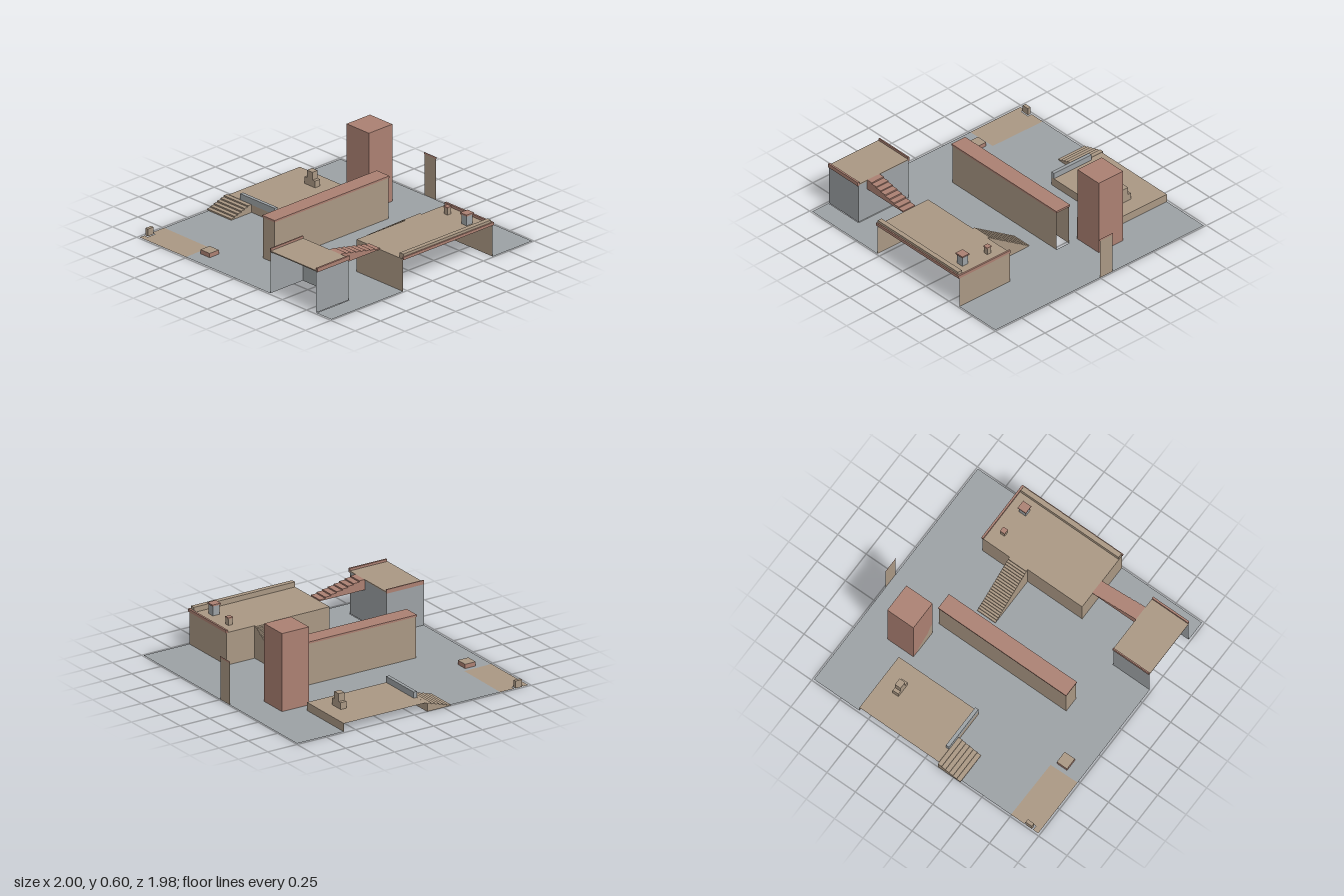
import * as THREE from 'three';

const flat = (name, color) => new THREE.MeshStandardMaterial({ name, color, side: THREE.DoubleSide });

export function createModel() {
  const root = new THREE.Group();
  root.name = 'courtyard';
  const grey = flat('grey stone', 0x9ca1a4);
  const tan = flat('tan plaster', 0xa99783);
  const red = flat('red brick', 0xab8072);

  const add = (name, geo, mat, parent = root) => {
    const m = new THREE.Mesh(geo, mat);
    m.name = name;
    parent.add(m);
    return m;
  };

  // Box from bounds; `sides` lists the faces to keep
  const ORDER = ['+x', '-x', '+y', '-y', '+z', '-z'];
  const box = (name, mat, [x0, x1], [y0, y1], [z0, z1], sides = ORDER, parent = root) => {
    const g = new THREE.BoxGeometry(x1 - x0, y1 - y0, z1 - z0);
    const idx = Array.from(g.index.array);
    g.setIndex(ORDER.flatMap((s, i) => (sides.includes(s) ? idx.slice(i * 6, i * 6 + 6) : [])));
    g.clearGroups();
    g.translate((x0 + x1) / 2, (y0 + y1) / 2, (z0 + z1) / 2);
    return add(name, g, mat, parent);
  };

  // Horizontal sheet from (x, z) outlines
  const toPath = (pts, P) => new P(pts.map(([x, z]) => new THREE.Vector2(x, -z)));
  const rect = (x0, x1, z0, z1) => [[x0, z0], [x1, z0], [x1, z1], [x0, z1]];
  const sheet = (name, mat, outline, holes = []) => {
    const s = toPath(outline, THREE.Shape);
    s.holes = holes.map((h) => toPath(h, THREE.Path));
    return add(name, new THREE.ShapeGeometry(s).rotateX(-Math.PI / 2), mat);
  };

  // Flight of steps rising along one axis from a to b (a is the low end)
  const steps = (name, mat, axis, n, [a, b], cross, base, [low, high]) => {
    const flight = new THREE.Group();
    flight.name = name;
    root.add(flight);
    for (let i = 0; i < n; i++) {
      const p = a + ((b - a) * i) / n, q = a + ((b - a) * (i + 1)) / n;
      const run = [Math.min(p, q), Math.max(p, q)];
      const top = low + ((high - low) * (i + 1)) / n;
      const [x, z] = axis === 'x' ? [run, cross] : [cross, run];
      box('step', mat, x, [base, top], z, ORDER, flight);
    }
  };

  // Ground, notched and pierced below the hollow buildings
  sheet('ground', grey, [
    [-0.985, -0.99], [0.99, -0.99], [0.99, -0.6], [0.51, -0.6], [0.51, 0.28], [0.99, 0.28],
    [0.99, 0.985], [0.835, 0.985], [0.835, 0.66], [0.36, 0.66], [0.36, 0.985],
    [-0.51, 0.985], [-0.515, 0.75], [-0.985, 0.745],
    [-0.985, 0.11], [-0.51, 0.11], [-0.51, -0.59], [-0.985, -0.59],
  ], [
    rect(-0.12, 0, -0.52, 0.6), rect(-0.43, -0.2, -0.75, -0.52), rect(-0.48, -0.385, 0.78, 0.87),
  ]);
  sheet('groundPatch', tan, [
    [-0.985, 0.745], [-0.515, 0.75], [-0.51, 0.985], [-0.985, 0.985],
    [-0.985, 0.94], [-0.95, 0.94], [-0.95, 0.865], [-0.985, 0.865],
  ]);
  box('cornerPost', tan, [-0.985, -0.958], [0, 0.055], [0.875, 0.93]);

  // Small plinth
  box('plinthSides', red, [-0.48, -0.385], [0, 0.033], [0.78, 0.87], ['+x', '-x', '+z', '-z']);
  box('plinthTop', tan, [-0.48, -0.385], [0, 0.033], [0.78, 0.87], ['+y']);

  // Tower with a worn patch at its foot
  box('tower', red, [-0.43, -0.2], [0, 0.6], [-0.75, -0.52], ['+x', '-x', '+y', '+z', '-z']);
  const worn = new THREE.Shape([
    [-0.385, 0], [-0.2, 0], [-0.2, 0.19], [-0.235, 0.165], [-0.255, 0.11], [-0.3, 0.09], [-0.36, 0.055], [-0.385, 0.035],
  ].map(([x, y]) => new THREE.Vector2(x, y)));
  add('towerWornPatch', new THREE.ShapeGeometry(worn), tan).position.z = -0.518;

  // Long wall, its coping and the detached end panel
  box('longWall', tan, [-0.12, 0], [0, 0.318], [-0.52, 0.6], ['+x', '-x', '+z']);
  box('longWallCoping', red, [-0.125, 0.005], [0.318, 0.333], [-0.525, 0.603]);
  add('endPanel', new THREE.PlaneGeometry(0.12, 0.318), tan).position.set(-0.06, 0.159, -0.99);
  add('endPanelCoping', new THREE.PlaneGeometry(0.13, 0.015), red).position.set(-0.06, 0.3255, -0.99);

  // Low terrace, open on its outer side
  box('terrace', tan, [-0.985, -0.51], [0, 0.063], [-0.59, 0.11], ['+x', '+y', '+z', '-z']);
  box('terraceParapet', grey, [-0.865, -0.51], [0.06, 0.11], [0.085, 0.112]);
  steps('terraceSteps', tan, 'z', 6, [0.31, 0.112], [-1, -0.75], 0, [0, 0.062]);
  box('terraceChimneyBase', tan, [-0.755, -0.645], [0.063, 0.115], [-0.465, -0.415]);
  box('terraceChimney', tan, [-0.728, -0.672], [0.115, 0.175], [-0.465, -0.415]);

  // Main house, open on its outer side
  box('house', tan, [0.51, 0.99], [0, 0.25], [-0.6, 0.28], ['-x', '+y', '+z', '-z']);
  box('houseParapet', tan, [0.953, 0.99], [0.25, 0.29], [-0.585, 0.278]);
  box('houseSideTrim', red, [0.99, 1], [0.248, 0.27], [-0.603, 0.285]);
  box('houseBackTrim', red, [0.507, 1], [0.248, 0.27], [-0.605, -0.59]);
  box('roofChimney', grey, [0.827, 0.88], [0.25, 0.325], [-0.507, -0.449]);
  box('roofChimneyCap', red, [0.82, 0.886], [0.325, 0.337], [-0.514, -0.443]);
  box('roofVent', tan, [0.615, 0.65], [0.25, 0.3], [-0.515, -0.48]);
  box('roofVentCap', red, [0.612, 0.653], [0.3, 0.31], [-0.518, -0.477]);
  steps('houseStairs', tan, 'x', 22, [0.12, 0.51], [-0.36, -0.2], 0, [0, 0.25]);

  // Raised front platform, open at the front, with side rails
  box('platformWalls', grey, [0.36, 0.83], [0, 0.325], [0.665, 0.985], ['+x', '-x', '-z']);
  box('platformTop', tan, [0.36, 0.83], [0.322, 0.33], [0.662, 0.985]);
  for (const [name, x0, x1] of [['rightRail', 0.353, 0.363], ['leftRail', 0.827, 0.842]])
    box(name, red, [x0, x1], [0.317, 0.348], [0.662, 0.98]);
  steps('bridgeSteps', red, 'z', 8, [0.278, 0.664], [0.635, 0.75], 0.25, [0.25, 0.33]);

  return root;
}
